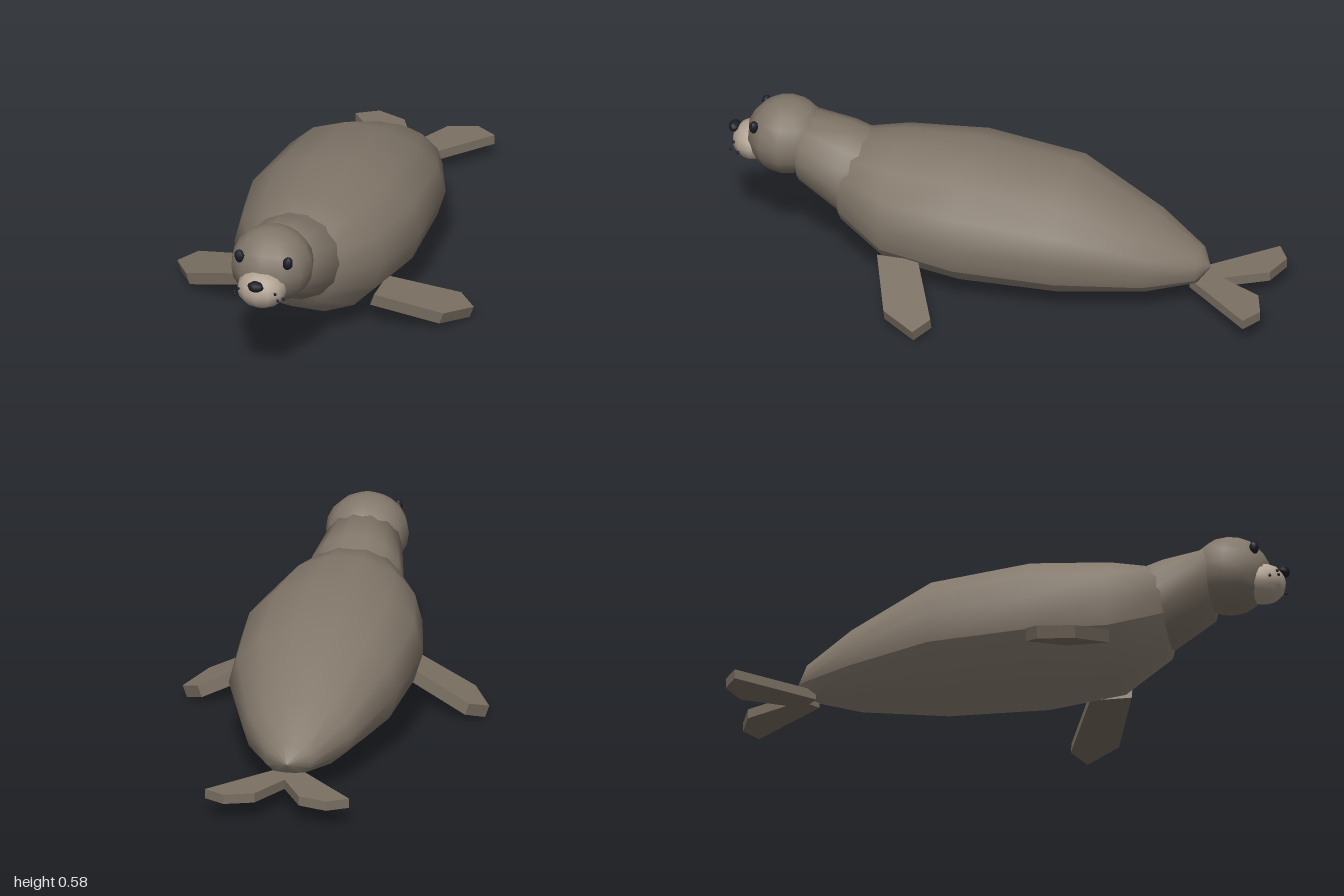
import * as THREE from 'three';

const paint = (name, color) => {
  const m = new THREE.MeshStandardMaterial({ color });
  m.name = name;
  return m;
};

// Smooth skin over elliptical rings [z, centreY, radiusX, radiusY], front to back,
// covering `count` of `sides` facets counted clockwise from the top.
function loft(rings, sides, first, count) {
  const pos = [], index = [];
  const full = count === sides;
  const cols = full ? sides : count + 1;
  for (const [z, cy, rx, ry] of rings) {
    for (let j = 0; j < cols; j++) {
      const t = (first + j + 0.5) * 2 * Math.PI / sides;
      pos.push(rx * Math.sin(t), cy + ry * Math.cos(t), z);
    }
  }
  for (let i = 0; i < rings.length - 1; i++) {
    for (let j = 0; j < count; j++) {
      const k = (j + 1) % cols;
      const a = i * cols + j, b = i * cols + k;
      const c = a + cols, d = b + cols;
      index.push(a, b, c, b, d, c);
    }
  }
  const g = new THREE.BufferGeometry();
  g.setAttribute('position', new THREE.Float32BufferAttribute(pos, 3));
  g.setIndex(index);
  g.computeVertexNormals();
  return g;
}

// Flat slab from an outline in (x, z), top face at y = 0
function slab(points, thickness, side) {
  const shape = new THREE.Shape(points.map(([x, z]) => new THREE.Vector2(x * side, z)));
  return new THREE.ExtrudeGeometry(shape, { depth: thickness, bevelEnabled: false })
    .rotateX(Math.PI / 2);
}

export function createModel() {
  const seal = new THREE.Group();
  seal.name = 'seal';

  const fur = paint('fur', 0x82776a);
  const bellyFur = paint('bellyFur', 0x92867a);
  const flipperSkin = paint('flipperSkin', 0x7b7063);
  const muzzleFur = paint('muzzleFur', 0xb2a494);
  const dark = paint('dark', 0x1b1d28);

  const add = (name, geometry, material) => {
    const mesh = new THREE.Mesh(geometry, material);
    mesh.name = name;
    seal.add(mesh);
    return mesh;
  };
  const ball = (name, material, center, radii, w = 12, h = 8) => {
    const mesh = add(name, new THREE.SphereGeometry(1, w, h), material);
    mesh.position.set(...center);
    mesh.scale.set(...radii);
    return mesh;
  };

  // Body: back and belly share rings but have separate skins
  const bodyRings = [
    [0.62, 0.34, 0, 0],
    [0.56, 0.32, 0.172, 0.165],
    [0.38, 0.275, 0.275, 0.231],
    [0.1, 0.265, 0.33, 0.246],
    [-0.26, 0.243, 0.305, 0.223],
    [-0.56, 0.18, 0.195, 0.133],
    [-0.73, 0.145, 0.085, 0.06],
    [-0.77, 0.14, 0, 0],
  ];
  add('back', loft(bodyRings, 14, 9, 9), fur);
  add('belly', loft(bodyRings, 14, 4, 5), bellyFur);

  // Neck runs from inside the chest into the head
  add('neck', loft([
    [0.725, 0.425, 0, 0],
    [0.72, 0.42, 0.138, 0.133],
    [0.56, 0.35, 0.174, 0.168],
    [0.42, 0.32, 0.16, 0.15],
  ], 14, 0, 14), fur);

  // Head
  ball('head', fur, [0, 0.448, 0.785], [0.15, 0.139, 0.145], 12, 10);
  ball('muzzle', muzzleFur, [0, 0.408, 0.905], [0.09, 0.07, 0.08], 12, 8);
  ball('nose', dark, [0, 0.45, 0.978], [0.03, 0.02, 0.022], 8, 6);

  const whiskerSpots = [[0.069, 0.425, 0.965], [0.081, 0.404, 0.972], [0.092, 0.398, 0.942]];
  const frontOutline = [[0, 0.39], [0.245, 0.305], [0.322, 0.18], [0.255, 0.13], [0, 0.24]];
  const rearOutline = [[0.035, -0.7], [0.26, -0.955], [0.185, -1], [0.08, -0.965], [-0.03, -0.755]];

  for (const [label, s] of [['left', 1], ['right', -1]]) {
    const eye = ball(label + 'Eye', dark, [s * 0.09, 0.511, 0.885], [0.019, 0.025, 0.017], 8, 6);
    eye.rotation.z = -s * 0.2;

    whiskerSpots.forEach(([x, y, z], i) =>
      ball(`${label}WhiskerSpot${i + 1}`, dark, [s * x, y, z], [0.006, 0.006, 0.006], 6, 4));

    // Front flippers slope down to the ground
    const front = add(label + 'FrontFlipper', slab(frontOutline, 0.046, s), flipperSkin);
    front.rotation.z = -s * 0.34;
    front.position.set(s * 0.25, 0.155, 0);

    // Rear flippers lie flat and splay outward
    const rear = add(label + 'RearFlipper', slab(rearOutline, 0.035, s), flipperSkin);
    rear.position.y = 0.1;
  }

  return seal;
}
